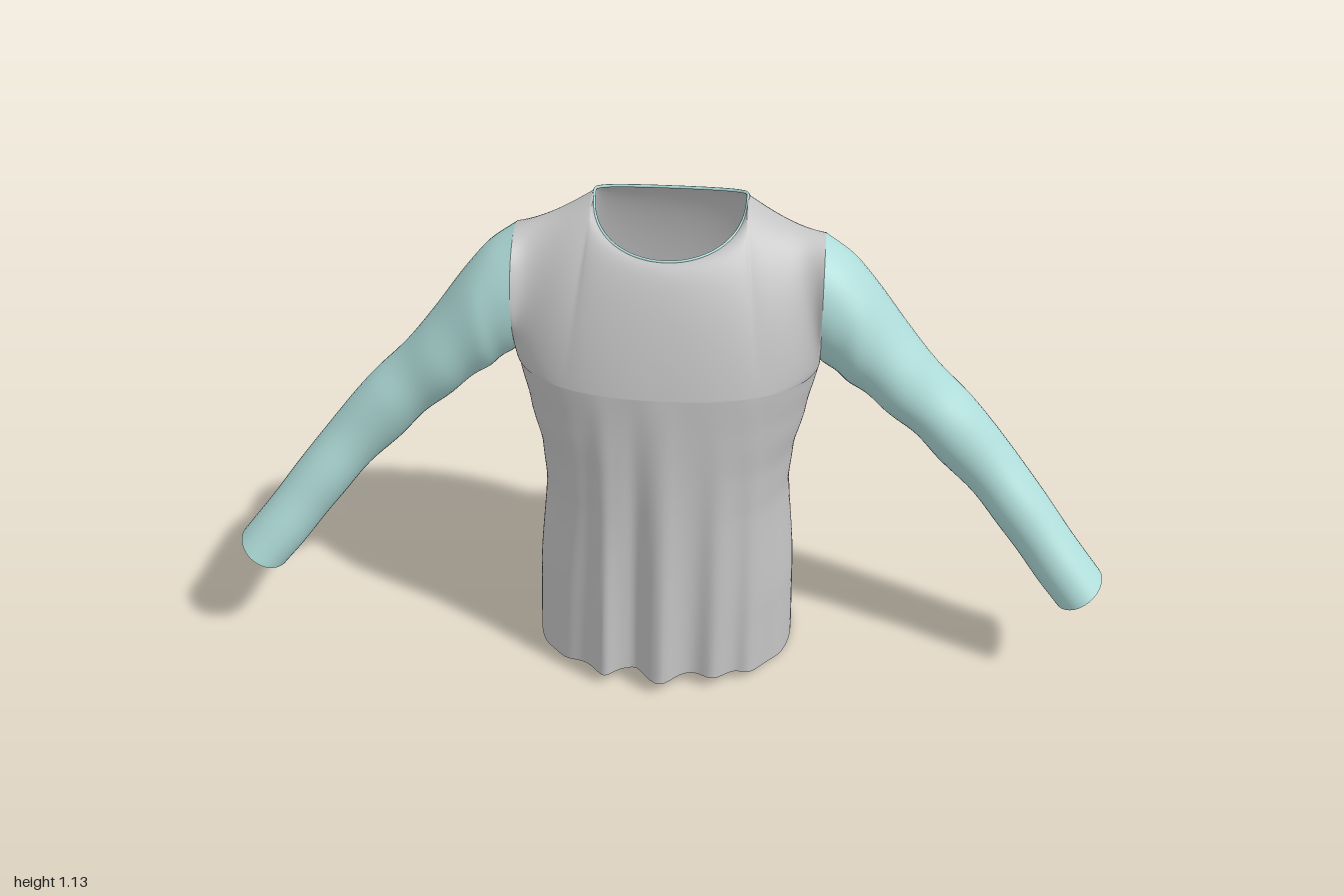
import * as THREE from 'three';
import { mergeGeometries, mergeVertices } from 'three/addons/utils/BufferGeometryUtils.js';

const ARMPIT = 0.77, SHOULDER = 1.06, SEAM_X = 0.335, SEAM_Z = -0.03, SEAM_R = 0.115;
const NECK_ANGLE = THREE.MathUtils.degToRad(55);
const lerp = THREE.MathUtils.lerp;

// Smooth grid of quads from a rule fn(row 0..1, column 0..1) -> [x, y, z]
function grid(rows, cols, fn, flip) {
  const pos = [], index = [];
  for (let i = 0; i <= rows; i++)
    for (let j = 0; j <= cols; j++) pos.push(...fn(i / rows, j / cols));
  for (let i = 0; i < rows; i++)
    for (let j = 0; j < cols; j++) {
      const a = i * (cols + 1) + j, b = a + 1, c = a + cols + 1, d = c + 1;
      if (flip) index.push(a, c, b, b, c, d);
      else index.push(a, b, c, b, d, c);
    }
  const g = new THREE.BufferGeometry();
  g.setAttribute('position', new THREE.Float32BufferAttribute(pos, 3));
  g.setIndex(index);
  return g;
}

// Smooth interpolation through [key, value] pairs
function profile(points, k) {
  let i = 0;
  while (i < points.length - 2 && k > points[i + 1][0]) i++;
  const [k0, v0] = points[i], [k1, v1] = points[i + 1];
  return lerp(v0, v1, THREE.MathUtils.smoothstep(k, k0, k1) * 0.5 + THREE.MathUtils.clamp((k - k0) / (k1 - k0), 0, 1) * 0.5);
}

const halfWidth = [[0, 0.302], [0.2, 0.298], [0.45, 0.279], [0.55, 0.287], [0.66, 0.312], [0.77, SEAM_X]];
// Hanging folds: [x, width, depth]
const frontFolds = [[0, 0.035, 0.036], [-0.13, 0.025, 0.026], [0.12, 0.03, 0.014], [-0.06, 0.02, -0.012], [0.2, 0.025, 0.016]];
const backFolds = [[-0.07, 0.022, 0.044], [0.1, 0.03, 0.01], [0.02, 0.03, -0.008], [-0.19, 0.03, 0.012]];

// Edge of the neckline, half loop: b = 0..PI from left to right
function neck(b, front) {
  const s = Math.max(0, Math.sin(b));
  return front
    ? [0.165 * Math.cos(b), 1.132 - 0.084 * s ** 0.85, -0.065 + 0.155 * s ** 0.85]
    : [0.165 * Math.cos(b), 1.132 - 0.015 * s, -0.065 - 0.062 * s ** 0.65];
}

// Top border of a panel: shoulder seam, neckline, shoulder seam
function topEdge(a, front) {
  const m = Math.min(a, Math.PI - a), side = a < Math.PI / 2 ? 1 : -1;
  if (m >= NECK_ANGLE)
    return neck((a - NECK_ANGLE) / (Math.PI - 2 * NECK_ANGLE) * Math.PI, front);
  const t = m / NECK_ANGLE;
  return [side * lerp(SEAM_X, 0.165, t), lerp(SHOULDER, 1.132, t) - 0.008 * Math.sin(Math.PI * t), lerp(SEAM_Z, -0.065, t)];
}

// Body cross-section below the armpits; q = 0 at the hem, 1 at the armpit
function lowerPoint(q, a, front) {
  const c = Math.cos(a), s = Math.max(0, Math.sin(a)), p = 2 / 2.4;
  const y = lerp((front ? 0.004 : 0.002) + 0.03 * s * s, ARMPIT, q);
  const x = Math.sign(c) * Math.abs(c) ** p * profile(halfWidth, y) - 0.007 * (1 - q);
  let depth = front ? lerp(0.245, 0.23, q) : lerp(0.19, 0.18, q);
  const drop = (1 - q) ** 0.8;
  for (const [fx, w, d] of front ? frontFolds : backFolds)
    depth += d * drop * Math.exp(-(((x - fx) / w) ** 2));
  depth += 0.006 * Math.cos(16 * a + 2 * q) * drop * s;
  return [x, y, SEAM_Z + (front ? 1 : -1) * depth * s ** p];
}

// Chest or upper back, with the armhole as its side borders
function upperPoint(v, a, front) {
  const w = (1 - Math.cos(Math.PI * v)) / 2, dir = front ? 1 : -1;
  const lo = lowerPoint(1, a, front), hi = topEdge(a, front);
  const t = Math.min(1, Math.min(a, Math.PI - a) / NECK_ANGLE);
  const k = (1 - t) ** 2;
  const round = Math.sqrt(Math.max(0, 1 - w * w)) - (1 - w);
  const full = front ? lerp(1, 0.5, Math.sin(a) ** 4) : 1;
  const z = lerp(lo[2], hi[2], w) + dir * k * SEAM_R * Math.sin(Math.PI * v)
    + (1 - k) * full * (lo[2] - hi[2]) * round;
  return [lerp(lo[0], hi[0], w), lerp(lo[1], hi[1], w), z];
}

function bodyGeometry() {
  const split = 0.6;
  const panel = front => grid(60, 108, (r, c) => {
    const a = c * Math.PI;
    return r <= split + 1e-6
      ? lowerPoint(Math.min(1, r / split), a, front)
      : upperPoint((r - split) / (1 - split), a, front);
  }, front);
  const g = mergeVertices(mergeGeometries([panel(true), panel(false)]), 1e-4);
  g.computeVertexNormals();
  return g;
}

// Sleeve stations: top x, top y, bottom x, bottom y, centre z, half depth
const stations = [
  [SEAM_X, SHOULDER, SEAM_X, ARMPIT, SEAM_Z, SEAM_R],
  [0.40, 1.01, 0.365, 0.748, -0.03, 0.118],
  [0.45, 0.95, 0.40, 0.72, -0.03, 0.117],
  [0.53, 0.84, 0.455, 0.675, -0.03, 0.107],
  [0.60, 0.75, 0.53, 0.61, -0.028, 0.095],
  [0.68, 0.67, 0.60, 0.54, -0.024, 0.086],
  [0.78, 0.55, 0.69, 0.45, -0.008, 0.08],
  [0.86, 0.45, 0.77, 0.36, 0.018, 0.078],
  [0.93, 0.36, 0.84, 0.272, 0.047, 0.076],
  [1.0, 0.275, 0.90, 0.205, 0.073, 0.077],
];

function sleeveGeometry(side) {
  const curve = f => new THREE.CatmullRomCurve3(stations.map(s => new THREE.Vector3(...f(s))));
  const top = curve(s => [s[0], s[1], s[4]]);
  const bottom = curve(s => [s[2], s[3], s[4]]);
  const depth = curve(s => [s[5], 0, 0]);
  const g = grid(54, 40, (r, c) => {
    const phi = c * Math.PI * 2;
    const hi = top.getPoint(r), lo = bottom.getPoint(r);
    // Soft diagonal wrinkles, strongest near the elbow
    const wrinkle = 1 + 0.035 * Math.sin(Math.PI * r) * Math.sin(34 * r + 2 * Math.sin(phi)) * (0.5 + 0.5 * Math.sin(phi - 0.6));
    const m = 0.5 + 0.5 * Math.cos(phi) * wrinkle;
    return [
      side * lerp(lo.x, hi.x, m),
      lerp(lo.y, hi.y, m),
      lerp(lo.z, hi.z, m) + depth.getPoint(r).x * Math.sin(phi) * wrinkle,
    ];
  }, side < 0);
  const welded = mergeVertices(g, 1e-4);
  welded.computeVertexNormals();
  return welded;
}

// Narrow binding around the neckline
function bindingGeometry() {
  const pts = [];
  for (let i = 0; i < 24; i++) pts.push(new THREE.Vector3(...neck(i / 24 * Math.PI, true)));
  for (let i = 24; i > 0; i--) pts.push(new THREE.Vector3(...neck(i / 24 * Math.PI, false)));
  return new THREE.TubeGeometry(new THREE.CatmullRomCurve3(pts, true), 120, 0.0035, 6, true);
}

export function createModel() {
  const grey = new THREE.MeshStandardMaterial({ color: 0xc4c3c3, side: THREE.DoubleSide });
  grey.name = 'light grey cloth';
  const teal = new THREE.MeshStandardMaterial({ color: 0xafdcd9, side: THREE.DoubleSide });
  teal.name = 'pale teal cloth';

  const shirt = new THREE.Group();
  shirt.name = 'longSleeveShirt';
  const add = (name, geometry, material) => {
    const mesh = new THREE.Mesh(geometry, material);
    mesh.name = name;
    shirt.add(mesh);
  };
  add('body', bodyGeometry(), grey);
  add('leftSleeve', sleeveGeometry(1), teal);
  add('rightSleeve', sleeveGeometry(-1), teal);
  add('neckBinding', bindingGeometry(), teal);
  return shirt;
}
